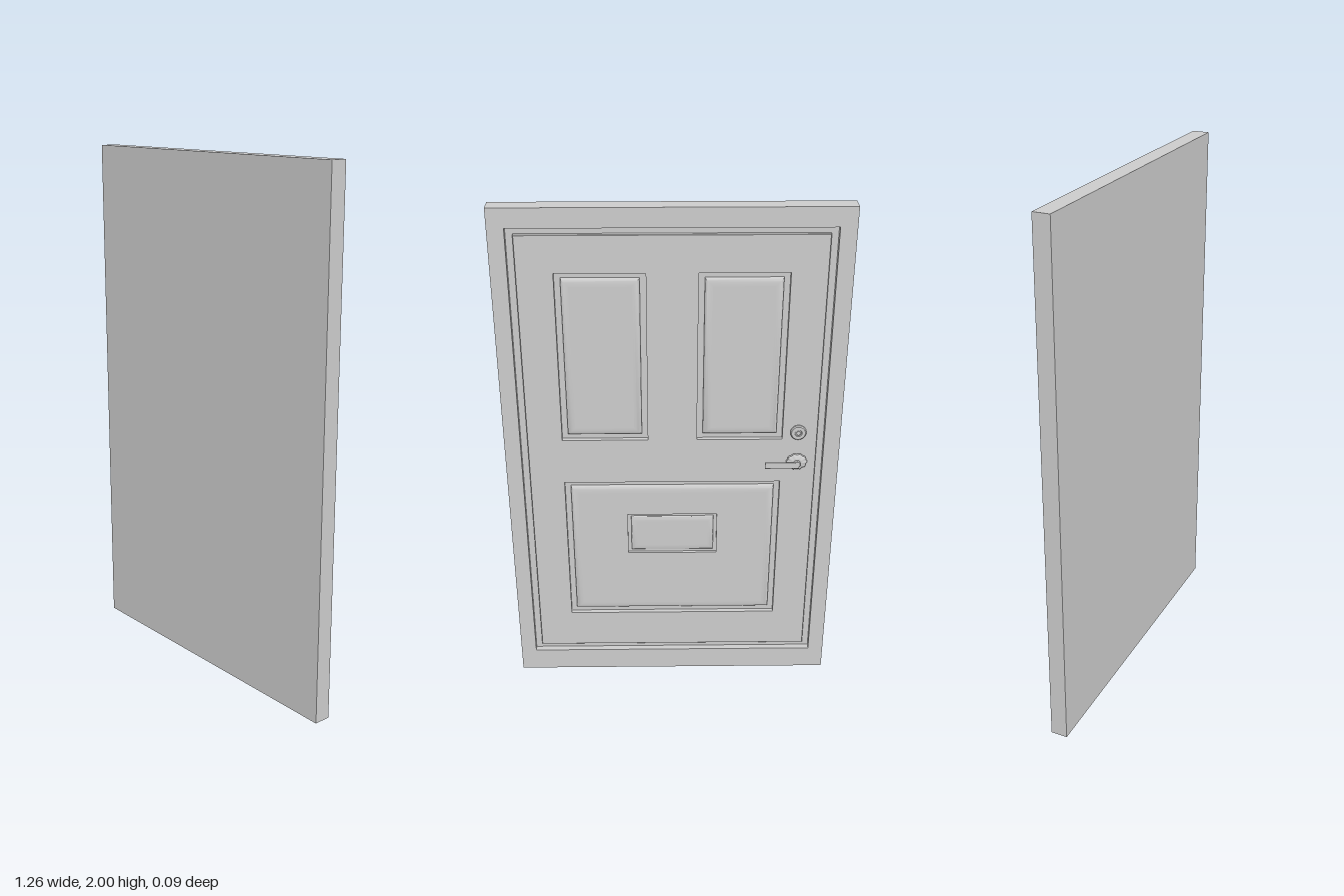
import * as THREE from 'three';
import { toCreasedNormals } from 'three/addons/utils/BufferGeometryUtils.js';
import { RoundedBoxGeometry } from 'three/addons/geometries/RoundedBoxGeometry.js';

const material = new THREE.MeshStandardMaterial({ color: 0xcccccc });

function addMesh(parent, name, geometry, x = 0, y = 0, z = 0) {
  const mesh = new THREE.Mesh(geometry, material);
  mesh.name = name;
  mesh.position.set(x, y, z);
  parent.add(mesh);
  return mesh;
}

// Rectangles are [x0, y0, x1, y1]
const inset = ([x0, y0, x1, y1], d) => [x0 + d, y0 + d, x1 - d, y1 - d];
const corners = ([x0, y0, x1, y1]) => [[x0, y0], [x1, y0], [x1, y1], [x0, y1]];

function rectShape(rect, holes = []) {
  const points = r => corners(r).map(([x, y]) => new THREE.Vector2(x, y));
  const shape = new THREE.Shape(points(rect));
  for (const h of holes) shape.holes.push(new THREE.Path(points(h).reverse()));
  return shape;
}

// Rounded shoulder from the groove wall up to the flat field
function shoulder(d0, z0, d1, z1, steps = 6) {
  return Array.from({ length: steps + 1 }, (_, i) => {
    const a = (i / steps) * Math.PI / 2;
    return [d1 - (d1 - d0) * Math.cos(a), z0 + (z1 - z0) * Math.sin(a)];
  });
}

// Mitred moulding through [inset, z] rings, closed by a flat field with holes
function addPanel(parent, name, rect, profile, holes = []) {
  const pos = [];
  for (let i = 0; i < profile.length - 1; i++) {
    const [a, b] = [profile[i], profile[i + 1]].map(([d, z]) =>
      corners(inset(rect, d)).map(p => [...p, z]));
    for (let k = 0; k < 4; k++) {
      const n = (k + 1) % 4;
      pos.push(...a[k], ...a[n], ...b[n], ...a[k], ...b[n], ...b[k]);
    }
  }
  const geometry = new THREE.BufferGeometry();
  geometry.setAttribute('position', new THREE.Float32BufferAttribute(pos, 3));
  const panel = new THREE.Group();
  panel.name = name;
  parent.add(panel);
  addMesh(panel, name + 'Moulding', toCreasedNormals(geometry, 0.6));
  const [d, z] = profile[profile.length - 1];
  addMesh(panel, name + 'Field', new THREE.ShapeGeometry(rectShape(inset(rect, d), holes)), 0, 0, z);
}

// Round fitting turned about z
function turned(points, segments = 32) {
  const g = new THREE.LatheGeometry(points.map(p => new THREE.Vector2(...p)), segments);
  g.rotateX(Math.PI / 2);
  return toCreasedNormals(g, 0.6);
}

export function createModel() {
  const model = new THREE.Group();
  model.name = 'panelledDoor';

  // Built with the panelled side on +z, then turned to the back with a slight skew
  const door = new THREE.Group();
  door.name = 'door';
  door.rotation.y = Math.PI + 0.008;
  door.position.z = -0.025;
  model.add(door);

  // Slab and surrounding frame
  const outer = [-0.63, 0, 0.63, 2];
  const opening = [-0.57, 0.095, 0.57, 1.928];
  addMesh(door, 'slab', new THREE.BoxGeometry(1.26, 2, 0.034), 0, 1, -0.047);
  addMesh(door, 'frame', new THREE.ExtrudeGeometry(rectShape(outer, [opening]),
    { depth: 0.03, bevelEnabled: false }), 0, 0, -0.03);

  // Leaf, standing free of the frame by a groove
  const upper = [[-0.413, 1.1, -0.092, 1.763], [0.092, 1.1, 0.413, 1.763]];
  const lower = [-0.413, 0.285, 0.413, 0.914];
  const flap = [-0.174, 0.583, 0.174, 0.765];
  addPanel(door, 'leaf', opening,
    [[0, -0.024], [0.026, -0.024], [0.026, -0.01], [0.028, -0.008]], [...upper, lower]);

  // Raised panels with rounded shoulders
  const panelProfile = [[0, -0.008], [0, -0.026], [0.022, -0.026], ...shoulder(0.022, -0.021, 0.05, -0.009)];
  upper.forEach((r, i) => addPanel(door, i ? 'upperRightPanel' : 'upperLeftPanel', r, panelProfile));
  addPanel(door, 'lowerPanel', lower, panelProfile, [flap]);
  addPanel(door, 'letterFlap', flap,
    [[0, -0.009], [0, -0.02], [0.013, -0.02], ...shoulder(0.013, -0.018, 0.035, -0.011)]);

  // Lever handle on a scalloped rose
  const handle = new THREE.Group();
  handle.name = 'handle';
  handle.position.set(0.472, 1.005, -0.008);
  door.add(handle);
  const rose = turned([[0.04, 0], [0.04, 0.009], [0.034, 0.014], [0.022, 0.018], [0, 0.02]], 64);
  const p = rose.attributes.position;
  for (let i = 0; i < p.count; i++) {
    const s = 0.95 + 0.05 * Math.cos(10 * Math.atan2(p.getY(i), p.getX(i)));
    p.setXY(i, p.getX(i) * s, p.getY(i) * s * 0.85);
  }
  rose.computeVertexNormals();
  addMesh(handle, 'rose', rose);
  addMesh(handle, 'neck', turned([[0.013, 0], [0.013, 0.029], [0.011, 0.031], [0, 0.031]], 24));
  addMesh(handle, 'lever', new RoundedBoxGeometry(0.13, 0.026, 0.005, 2, 0.002), -0.057, -0.004, 0.0285);

  // Lock cylinder above the handle
  const lock = new THREE.Group();
  lock.name = 'lock';
  lock.position.set(0.472, 1.13, -0.008);
  door.add(lock);
  addMesh(lock, 'lockRose', turned([[0.03, 0], [0.03, 0.006], [0.026, 0.01], [0.014, 0.01], [0.012, 0.006], [0, 0.006]]));
  addMesh(lock, 'lockCore', turned([[0.008, 0], [0.008, 0.011], [0, 0.011]], 20));

  return model;
}
